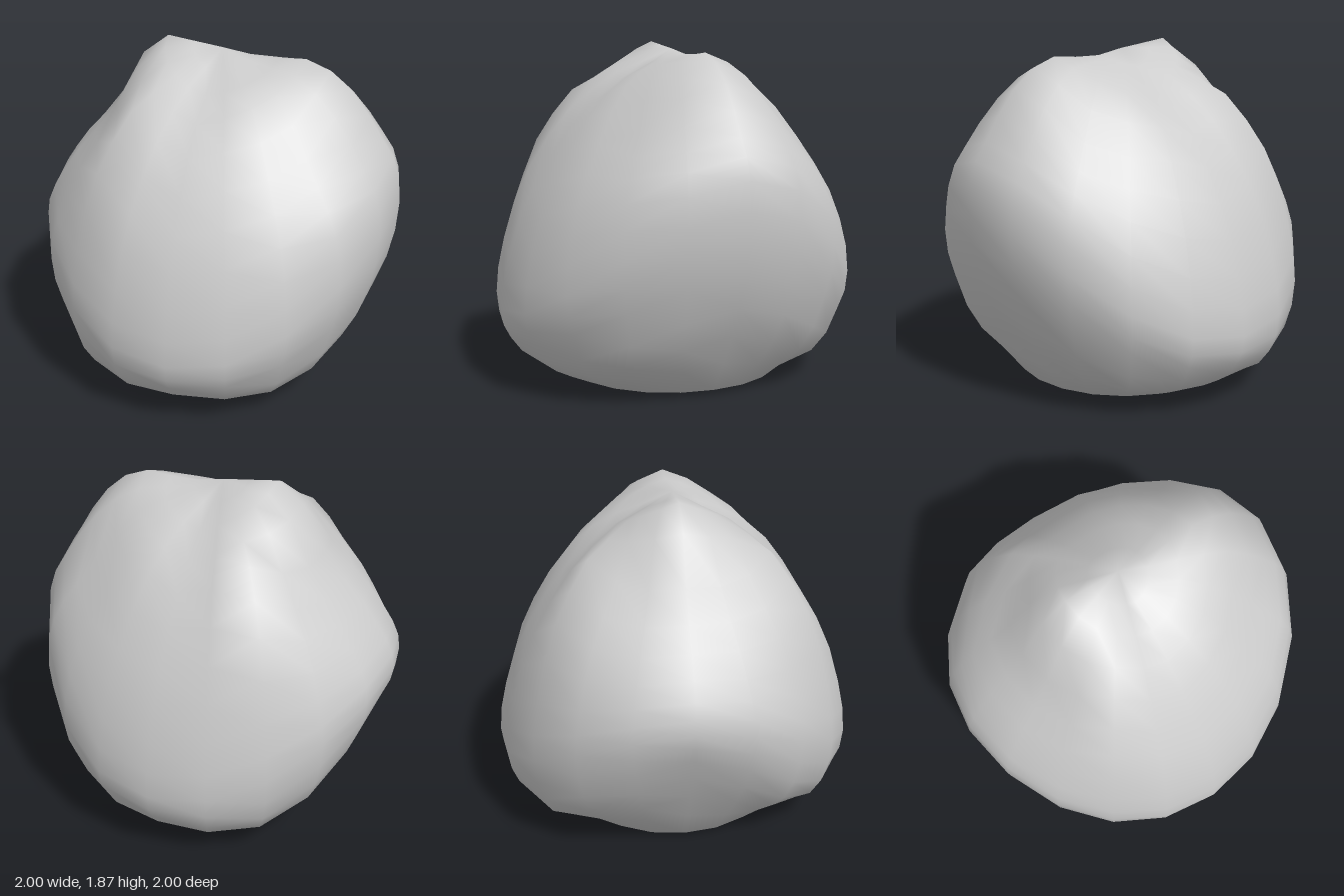
import * as THREE from 'three';
import { mergeVertices } from 'three/addons/utils/BufferGeometryUtils.js';

// Heights along three meridians, from the top pole (index 0) over the rim (10) to the base (20),
// one value for every 9 degrees.
const leftSide = [1.83, 1.8, 1.8, 1.81, 1.76, 1.66, 1.53, 1.4, 1.31, 1.2, 1.05,
  0.88, 0.71, 0.54, 0.38, 0.21, 0.03, 0.02, 0.015, 0.005, 0];
const rightSide = [1.83, 1.85, 1.87, 1.76, 1.52, 1.37, 1.26, 1.15, 1.06, 0.98, 0.9,
  0.82, 0.73, 0.59, 0.42, 0.23, 0.03, 0.02, 0.015, 0.005, 0];
const frontBack = [1.83, 1.74, 1.66, 1.55, 1.42, 1.26, 1.09, 0.92, 0.73, 0.57, 0.43,
  0.34, 0.27, 0.19, 0.13, 0.07, 0.02, 0.015, 0.01, 0.005, 0];

// Height changes between the meridians: shoulders on the right, shallow dents on the left,
// and a fuller underside on both
const leftDiagonal = [0, 0, 0, -0.02, -0.07, -0.1, -0.07, -0.02, 0, 0, 0,
  0, 0, -0.05, -0.07, -0.03, 0, 0, 0, 0, 0];
const rightDiagonal = [0, 0, 0, 0.04, 0.14, 0.16, 0.16, 0.12, 0.06, 0.02, 0,
  -0.06, -0.12, -0.13, -0.09, -0.03, 0, 0, 0, 0, 0];

const SEGMENTS = 20;
const RINGS = 20;

// 1 at the centre angle, falling to 0 at the given width (degrees)
const falloff = (angle, centre, width) => Math.max(0, 1 - Math.abs(angle - centre) / width);

export function createModel() {
  const group = new THREE.Group();
  group.name = 'boulder';

  // A sphere keeps its round plan; only the heights are reshaped
  const sphere = new THREE.SphereGeometry(1, SEGMENTS, RINGS);
  sphere.deleteAttribute('uv');
  sphere.deleteAttribute('normal');
  const pos = sphere.attributes.position;
  for (let i = 0; i < pos.count; i++) {
    const ring = Math.floor(i / (SEGMENTS + 1));
    const x = pos.getX(i);
    const z = pos.getZ(i);
    const r = Math.hypot(x, z);
    const left = x > 0;
    const angle = THREE.MathUtils.radToDeg(Math.atan2(Math.abs(z), Math.abs(x)));

    // Sharp ridge near the summit, softer blend at the rim
    const soft = Math.pow(Math.cos(THREE.MathUtils.degToRad(angle)), 2.3);
    const weight = THREE.MathUtils.lerp(1 - angle / 90, soft, r * r);
    let y = THREE.MathUtils.lerp(frontBack[ring], (left ? leftSide : rightSide)[ring], weight);

    // Shoulders, dents and underside, alike on front and back
    const spread = ring > 10 ? falloff(angle, 45, 42) * 1.2 : falloff(angle, left ? 40 : 54, 26);
    y += (left ? leftDiagonal : rightDiagonal)[ring] * Math.min(1, spread);
    pos.setY(i, Math.max(0, y));
  }

  // Weld the seam and poles so the shading is smooth all round
  const geometry = mergeVertices(sphere, 1e-4);
  geometry.computeVertexNormals();
  const rock = new THREE.Mesh(geometry, new THREE.MeshStandardMaterial({ color: 0xcccccc }));
  rock.name = 'rock';
  group.add(rock);
  return group;
}
